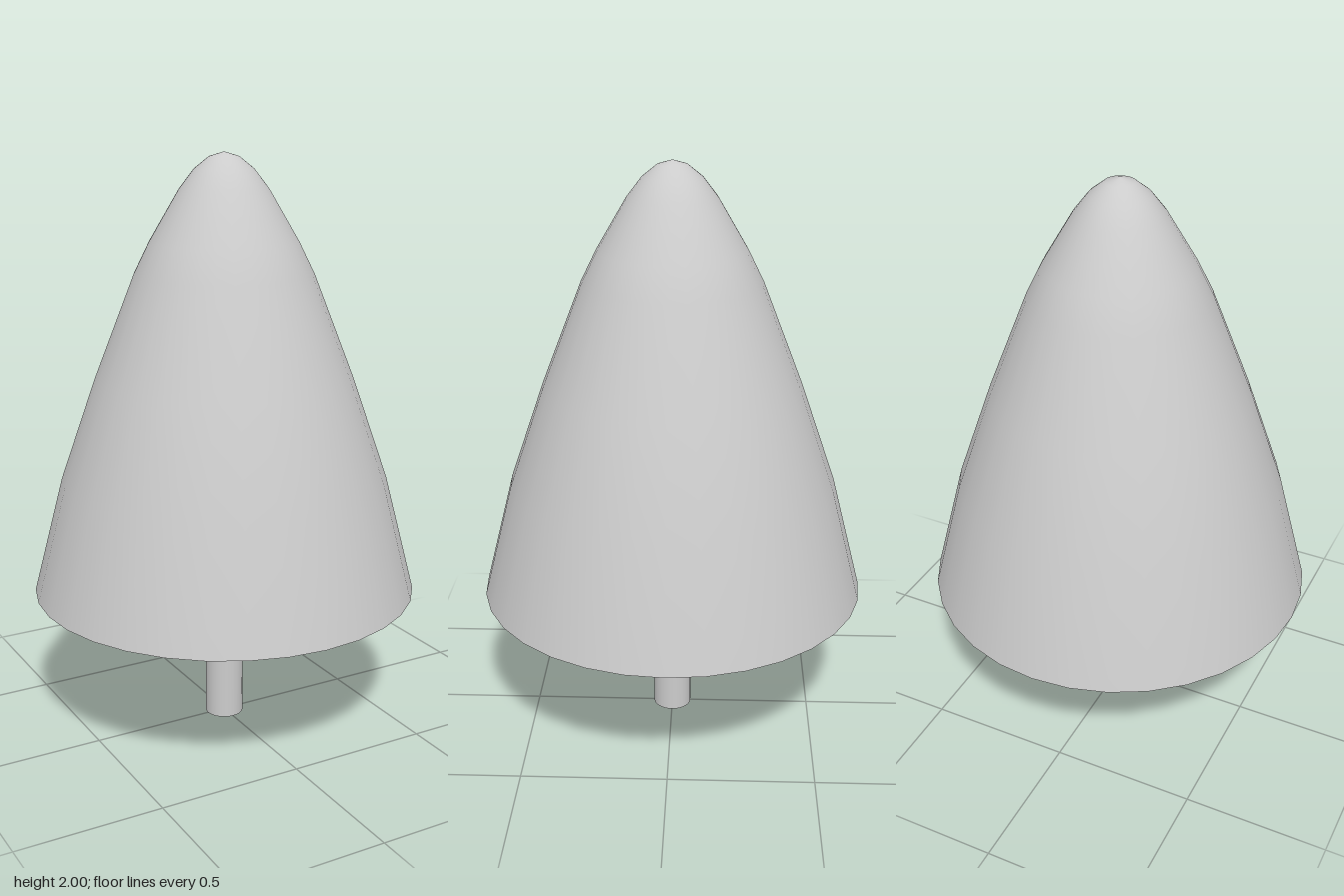
import * as THREE from 'three';

const SIDES = 32;

export function createModel() {
  const model = new THREE.Group();
  model.name = 'tree';
  const material = new THREE.MeshStandardMaterial({ color: 0xcccccc });

  const add = (name, geometry, y) => {
    const mesh = new THREE.Mesh(geometry, material);
    mesh.name = name;
    mesh.position.y = y;
    model.add(mesh);
    return mesh;
  };

  // Trunk: plain round post under the foliage
  add('trunk', new THREE.CylinderGeometry(0.067, 0.067, 0.5, SIDES), 0.25);

  // Foliage: blunt-tipped cone, profile listed from rim to tip as [radius, height]
  const profile = [
    [0.667, 0.5], [0.562, 0.905], [0.44, 1.254], [0.303, 1.603], [0.25, 1.71],
    [0.2, 1.795], [0.15, 1.88], [0.1, 1.945], [0.05, 1.985], [0, 2],
  ].map(([r, y]) => new THREE.Vector2(r, y));
  add('foliage', new THREE.LatheGeometry(profile, SIDES), 0);

  // Flat underside closing the foliage
  const underside = new THREE.CircleGeometry(0.667, SIDES);
  underside.rotateX(Math.PI / 2);
  add('foliageUnderside', underside, 0.5);

  return model;
}
